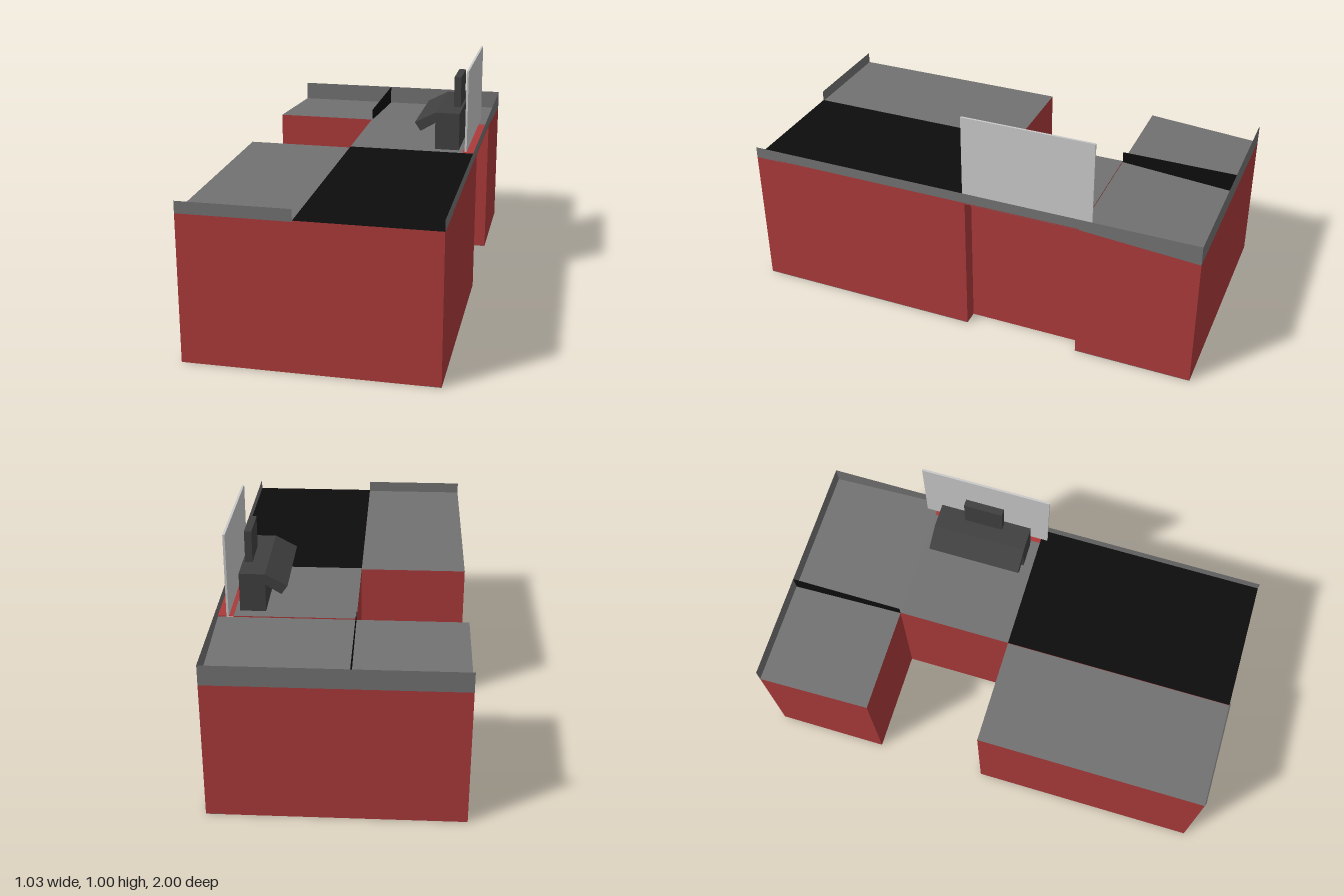
import * as THREE from 'three';

const mat = (name, color, side = THREE.FrontSide) => {
  const m = new THREE.MeshStandardMaterial({ color, side });
  m.name = name;
  return m;
};

export function createModel() {
  const red = mat('cabinet red', 0xab3a3a);
  const gray = mat('counter gray', 0x727272, THREE.DoubleSide);
  const dark = mat('device dark gray', 0x404040);
  const black = mat('belt black', 0x0d0d0d, THREE.DoubleSide);
  const pale = mat('screen pale gray', 0xc9c9c9);
  const group = new THREE.Group();

  const add = (name, geometry, material) => {
    const mesh = new THREE.Mesh(geometry, material);
    mesh.name = name;
    group.add(mesh);
    return mesh;
  };
  // Box given by its minimum and maximum on each axis
  const box = (name, [x0, x1], [y0, y1], [z0, z1], material) => {
    const g = new THREE.BoxGeometry(x1 - x0, y1 - y0, z1 - z0);
    g.translate((x0 + x1) / 2, (y0 + y1) / 2, (z0 + z1) / 2);
    return add(name, g, material);
  };
  // Red cabinet with its own top colour
  const cabinet = (name, xs, top, zs, topMat) =>
    box(name, xs, [0.002, top], zs, [red, red, topMat, red, red, red]);
  const polygon = (points) => new THREE.ShapeGeometry(
    new THREE.Shape(points.map(([a, b]) => new THREE.Vector2(a, b))));

  const W = 0.515, split = -0.055, recess = 0.45;
  const top = 0.62, deck = 0.625, low = 0.585, rim = 0.67;

  // Cabinets
  cabinet('frontCounter', [-W, split], top, [0, 1], gray);
  cabinet('beltCounter', [split, W], deck, [0, 1], black);
  cabinet('middleCounter', [split, recess], deck, [-0.5, 0], gray);

  // Bagging cabinet, its top sloping down to the back
  const bagging = cabinet('baggingCounter', [-W, W], top, [-1, -0.5], gray).geometry;
  const p = bagging.attributes.position;
  for (let i = 0; i < p.count; i++) {
    if (p.getY(i) > 0.3 && p.getZ(i) < -0.9) p.setY(i, low);
  }
  bagging.computeVertexNormals();

  // Ledge over the side recess, and the base strips
  box('recessLedge', [recess, W], [deck - 0.004, deck], [-0.5, 0], red);
  for (const [z0, z1] of [[0, 1], [-1, -0.5]]) {
    box('baseStrip', [recess, W], [0, 0.002], [z0, z1], gray);
  }
  box('baseFront', [-W, recess], [0, 0.002], [0, 1], red);
  box('baseMiddle', [split, recess], [0, 0.002], [-0.5, 0], red);
  box('baseBack', [-W, recess], [0, 0.002], [-1, -0.5], red);

  // Thin rims; side profiles use (-z, y) and are turned to face +x
  add('frontRim', polygon([[-W, top], [split, top], [split, rim], [-W, rim]]), gray).position.z = 1;
  add('backRim', polygon([[-W, low], [W, low], [W, rim], [-W, rim]]), gray).position.z = -1;
  const sideRim = add('sideRim', polygon(
    [[-1, top], [0.5, top], [1, low], [1, rim], [-1, rim]]), gray);
  sideRim.rotation.y = Math.PI / 2;
  sideRim.position.x = W;

  // Divider on the sloping top
  const divider = add('baggingDivider', polygon(
    [[0.5, top], [1, low], [1, rim], [0.5, rim]]), black);
  divider.rotation.y = Math.PI / 2;
  divider.position.x = split;

  // Register with a slanted keyboard arm and an upright display
  const profile = new THREE.Shape([
    [0.322, deck], [0.43, deck], [0.43, 0.792], [0.322, 0.792],
    [0.23, 0.743], [0.256, 0.705], [0.322, 0.745],
  ].map(([x, y]) => new THREE.Vector2(x, y)));
  add('register', new THREE.ExtrudeGeometry(profile, { depth: 0.41, bevelEnabled: false }), dark)
    .position.z = -0.45;
  box('registerDisplay', [0.388, 0.419], [0.792, 0.93], [-0.33, -0.16], dark);

  // Upright screen beside the register
  box('screen', [0.464, 0.473], [0.64, 1], [-0.54, 0.03], pale);
  return group;
}
